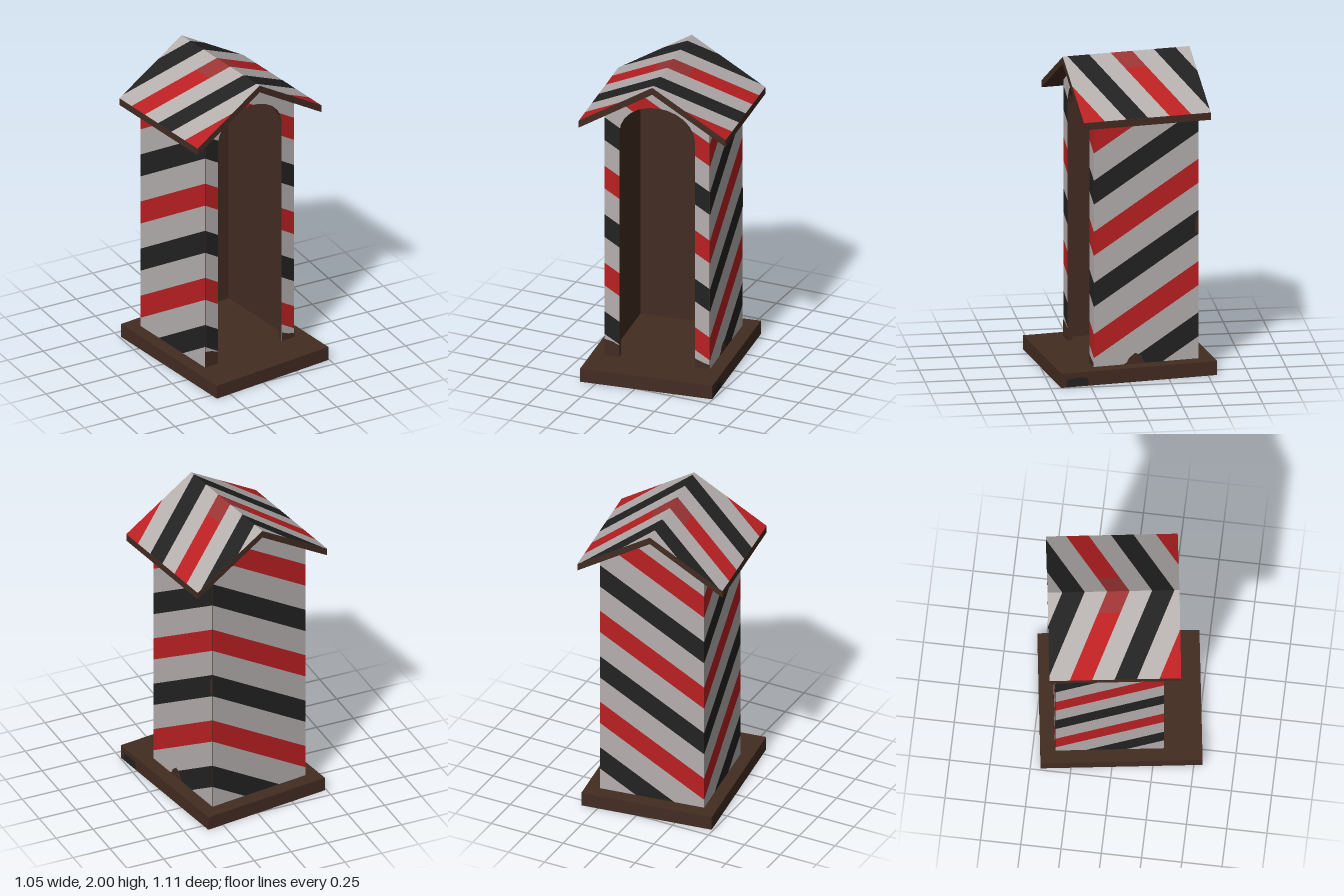
import * as THREE from 'three';

const flat = (name, color, extra = {}) => Object.assign(new THREE.MeshStandardMaterial({ color, ...extra }), { name });

// Main sizes
const HW = 0.34, ZF = 0.263, ZB = -0.407, FLOOR = 0.09, T = 0.03;   // sentry box body
const DOOR = 0.244, SPRING = 1.62, RISE = 0.195;                     // arched doorway
const RW = 0.475, RF = 0.367, RB = -0.447, RIDGE = 1.998, PITCH = 0.61, RT = 0.045; // roof
const under = x => RIDGE - RT - PITCH * Math.abs(x);
const SKIN = 0.002;

// Keep the part of a convex polygon where f(u, v) >= 0
function clip(poly, f) {
  const out = [];
  poly.forEach((a, i) => {
    const b = poly[(i + 1) % poly.length], fa = f(a), fb = f(b);
    if (fa >= 0) out.push(a);
    if ((fa >= 0) !== (fb >= 0)) {
      const t = fa / (fa - fb);
      out.push([a[0] + t * (b[0] - a[0]), a[1] + t * (b[1] - a[1])]);
    }
  });
  return out;
}

// Flat mesh from convex polygons, placed by map(u, v) and facing outward
function panel(name, polys, map, outward, material) {
  const pos = [];
  for (const p of polys) {
    const q = p.map(([u, v]) => new THREE.Vector3(...map(u, v)));
    for (let i = 1; i + 1 < q.length; i++) {
      const tri = [q[0], q[i], q[i + 1]];
      const n = new THREE.Vector3().crossVectors(tri[1].clone().sub(tri[0]), tri[2].clone().sub(tri[0]));
      if (n.dot(outward) < 0) tri.reverse();
      tri.forEach(c => pos.push(c.x, c.y, c.z));
    }
  }
  const g = new THREE.BufferGeometry();
  g.setAttribute('position', new THREE.Float32BufferAttribute(pos, 3));
  g.computeVertexNormals();
  const mesh = new THREE.Mesh(g, material);
  mesh.name = name;
  return mesh;
}

// Split polygons into diagonal bands of height(u, v): bands at start + k * step
function stripes(polys, height, start, step, half, count) {
  const bands = { black: [], red: [], white: [] };
  const add = (key, lo, hi) => polys.forEach(p => {
    const c = clip(clip(p, a => height(a) - lo), a => hi - height(a));
    if (c.length > 2) bands[key].push(c);
  });
  for (let k = 0; k < count; k++) {
    const c = start + k * step;
    add(k % 2 ? 'red' : 'black', c - half, c + half);
    add('white', c + half, c + step - half);
  }
  return bands;
}

export function createModel() {
  const mats = {
    white: flat('off white paint', 0xb5afae),
    red: flat('red paint', 0xbb2022),
    black: flat('black paint', 0x222222),
    faded: flat('faded red paint', 0x9c3434),
    brown: flat('brown wood', 0x432c22),
  };
  const box = new THREE.Group();
  const addMesh = (name, geo, x = 0, y = 0, z = 0) => {
    const m = new THREE.Mesh(geo, mats.brown);
    m.name = name;
    m.position.set(x, y, z);
    box.add(m);
  };
  const paint = (name, bands, map, outward) => {
    const g = new THREE.Group();
    g.name = name;
    for (const key in bands)
      if (bands[key].length) g.add(panel(`${name} ${key}`, bands[key], map, outward, mats[key]));
    box.add(g);
  };

  // Plinth
  addMesh('base', new THREE.BoxGeometry(0.854, FLOOR, 1.0), 0.003, FLOOR / 2, 0);

  // Doorway arch points, from the right to the left
  const arch = [];
  for (let i = 0; i <= 12; i++) {
    const a = Math.PI * i / 12;
    arch.push([DOOR * Math.cos(a), SPRING + RISE * Math.sin(a)]);
  }

  // Wooden walls
  const gable = [[-HW, FLOOR], [HW, FLOOR], [HW, under(HW)], [0, under(0)], [-HW, under(HW)]];
  const toShape = pts => new THREE.Shape(pts.map(p => new THREE.Vector2(...p)));
  const extrude = (shape, depth) => new THREE.ExtrudeGeometry(shape, { depth, bevelEnabled: false });
  addMesh('backWall', extrude(toShape(gable), T), 0, 0, ZB);
  const frontOutline = [[-HW, FLOOR], [-DOOR, FLOOR], ...arch.slice().reverse(), [DOOR, FLOOR],
    [HW, FLOOR], [HW, under(HW)], [0, under(0)], [-HW, under(HW)]];
  addMesh('frontWall', extrude(toShape(frontOutline), T), 0, 0, ZF - T);
  const sideH = under(HW) - FLOOR;
  for (const s of [-1, 1])
    addMesh(s > 0 ? 'leftWall' : 'rightWall', new THREE.BoxGeometry(T, sideH, ZF - ZB - 2 * T),
      s * (HW - T / 2), FLOOR + sideH / 2, (ZF + ZB) / 2);

  // Painted stripes winding around the walls
  const S = 0.415, START = -0.435 - 0.33, STEP = 0.33, HALF = 0.077;
  const wallBands = (polys, offset) => stripes(polys, ([u, v]) => v - offset(u), START, STEP, HALF, 9);
  const side = [[ZF, FLOOR], [ZB, FLOOR], [ZB, under(HW)], [ZF, under(HW)]];
  const depth = ZF - ZB;
  paint('leftWallPaint', wallBands([side], z => S * (ZF - z) / depth),
    (u, v) => [HW + SKIN, v, u], new THREE.Vector3(1, 0, 0));
  paint('rightWallPaint', wallBands([side], z => S * (z - ZB) / depth),
    (u, v) => [-HW - SKIN, v, u], new THREE.Vector3(-1, 0, 0));
  paint('backWallPaint', wallBands([gable], x => S * (x + HW) / (2 * HW)),
    (u, v) => [u, v, ZB - SKIN], new THREE.Vector3(0, 0, -1));
  const frontPieces = [];
  for (const s of [-1, 1])
    frontPieces.push([[s * DOOR, FLOOR], [s * HW, FLOOR], [s * HW, under(HW)], [s * DOOR, under(DOOR)]]);
  for (let i = 0; i < 12; i++) {
    const [a, b] = [arch[i], arch[i + 1]];
    frontPieces.push([a, b, [b[0], under(b[0])], [a[0], under(a[0])]]);
  }
  paint('frontWallPaint', wallBands(frontPieces, x => S * (HW - x) / (2 * HW)),
    (u, v) => [u, v, ZF + SKIN], new THREE.Vector3(0, 0, 1));

  // Gabled roof slab
  const e = RIDGE - PITCH * RW;
  const roofOutline = [[-RW, e - RT], [0, RIDGE - RT], [RW, e - RT], [RW, e], [0, RIDGE], [-RW, e]];
  addMesh('roof', extrude(toShape(roofOutline), RF - RB), 0, 0, RB);

  // Chevrons on the roof, with the middle of the red one faded
  const slopes = [-1, 1].map(s => [[0, RB], [s * RW, RB], [s * RW, RF], [0, RF]]);
  const roofBands = stripes(slopes, ([x, z]) => z + 0.51 * Math.abs(x), -0.841, 0.277, 0.069, 7);
  const isMid = p => p.some(a => Math.abs(a[0]) < 0.01 && Math.abs(a[1]) < 0.15);
  const mid = roofBands.red.filter(isMid);
  const cut = 0.115;
  roofBands.faded = mid.map(p => clip(p, a => cut - Math.abs(a[0])));
  roofBands.red = roofBands.red.filter(p => !isMid(p))
    .concat(mid.map(p => clip(p, a => Math.abs(a[0]) - cut)));
  paint('roofPaint', roofBands, (x, z) => [x, RIDGE + SKIN - PITCH * Math.abs(x), z], new THREE.Vector3(0, 1, 0));

  // Worn patches of bare wood and dark stains
  const Z = new THREE.Vector3(0, 0, 1), X = new THREE.Vector3(1, 0, 0);
  const front = (u, v) => [u, v, ZF + 2 * SKIN], left = (u, v) => [HW + 2 * SKIN, v, u];
  box.add(
    panel('wornFrontPosts', [
      [[-0.34, 0.09], [-0.244, 0.09], [-0.244, 0.17], [-0.29, 0.19], [-0.34, 0.2]],
      [[0.244, 0.09], [0.34, 0.09], [0.34, 0.115], [0.29, 0.13], [0.244, 0.15]],
    ], front, Z, mats.brown),
    panel('wornLeftWall', [
      [[0.06, 0.09], [0.04, 0.13], [0, 0.16], [-0.04, 0.14], [-0.06, 0.09]],
      [[ZB, 0.89], [ZB + 0.025, 0.91], [ZB + 0.02, 0.99], [ZB, 1.04]],
    ], left, X, mats.brown),
    panel('baseStain', [[[0.47, 0.005], [0.32, 0.005], [0.33, 0.05], [0.38, 0.06], [0.46, 0.05]]],
      (u, v) => [0.43 + SKIN, v, u], X, mats.black),
  );

  // The whole box stands slightly turned
  box.name = 'sentryBox';
  box.rotation.y = 0.139;
  const model = new THREE.Group();
  model.name = 'stripedSentryBox';
  model.add(box);
  return model;
}
